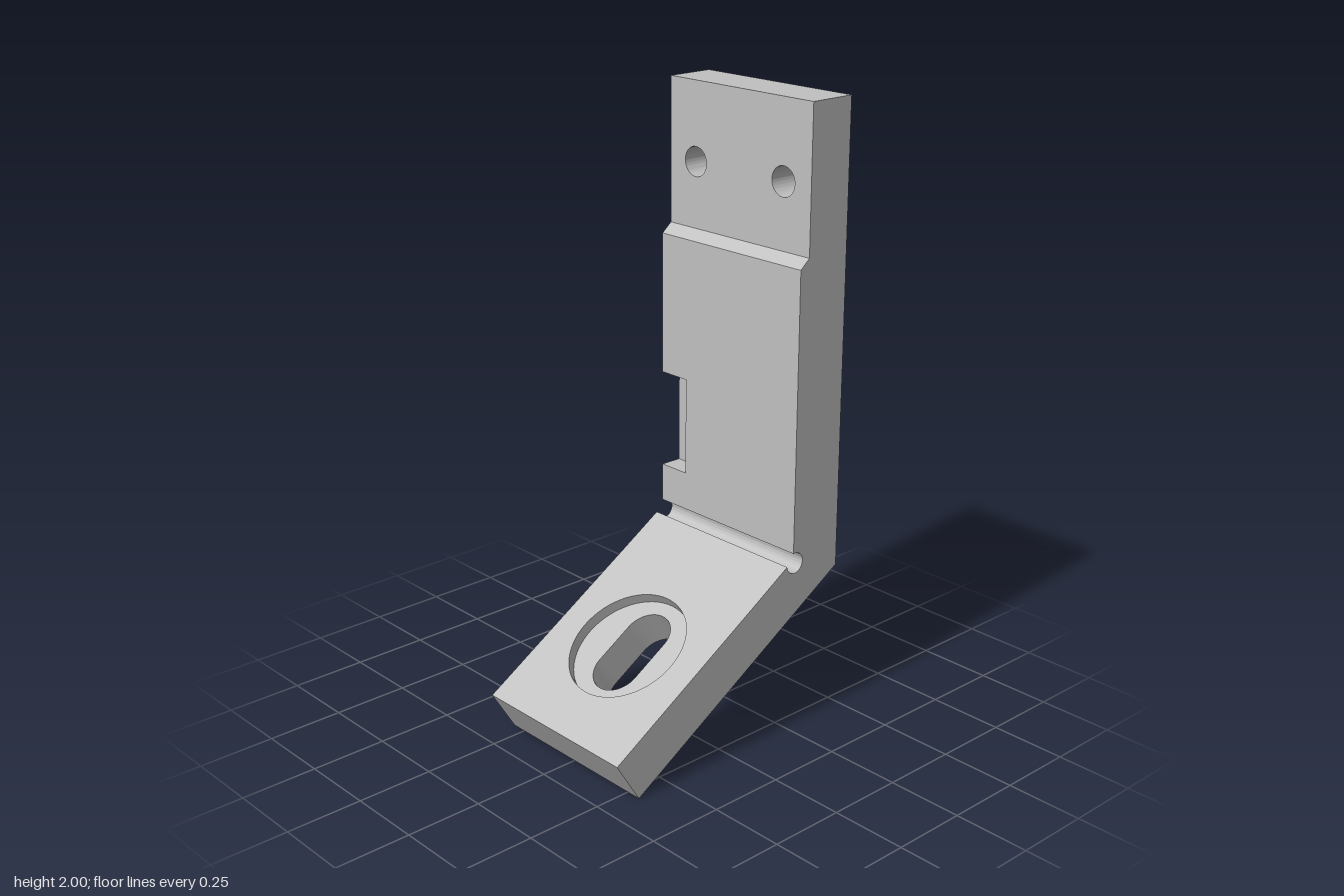
import * as THREE from 'three';
import { toCreasedNormals } from 'three/addons/utils/BufferGeometryUtils.js';

const HALF_W = 0.3;                       // half width of the bracket along z
const T = 0.163;                          // foot thickness
const HEEL = [0.46, 0.51], TOE = [-0.378, 0];
const tilt = Math.atan2(HEEL[1] - TOE[1], HEEL[0] - TOE[0]);
const C = Math.cos(tilt), S = Math.sin(tilt);
const JOINT = 0.65;                       // where the foot meets the elbow
const SHOULDER = 1.56;                    // where the top plate meets the upright

// Point of the foot: s along its slope, h above its underside
const footPoint = (s, h) => [TOE[0] + s * C - h * S, TOE[1] + s * S + h * C];

export function createModel() {
  const group = new THREE.Group();
  group.name = 'angledBracket';
  const steel = new THREE.MeshStandardMaterial({ color: 0xc0c0c0 });
  steel.name = 'greySteel';

  // Extrude a shape by depth, then place it with the given axes and origin
  function add(name, shape, depth, axes, origin) {
    const geo = new THREE.ExtrudeGeometry(shape, { depth, bevelEnabled: false, curveSegments: 32 });
    const m = new THREE.Matrix4().makeBasis(...axes.map(a => new THREE.Vector3(...a)));
    geo.applyMatrix4(m.setPosition(...origin));
    const mesh = new THREE.Mesh(toCreasedNormals(geo, 0.5), steel);
    mesh.name = name;
    group.add(mesh);
  }

  const rect = (x0, x1) => new THREE.Shape(
    [[x0, -HALF_W], [x1, -HALF_W], [x1, HALF_W], [x0, HALF_W]].map(p => new THREE.Vector2(...p)));
  const circle = (x, y, r) => new THREE.Path().absarc(x, y, r, 0, Math.PI * 2, true);

  // Top plate with two screw holes, extruded along x
  const plate = rect(SHOULDER, 2);
  for (const z of [-0.187, 0.187]) plate.holes.push(circle(1.75, z, 0.047));
  add('topPlate', plate, 0.16, [[0, 1, 0], [0, 0, 1], [1, 0, 0]], [0.3, 0, 0]);

  // Upright and elbow side profile, with a round relief in the inner corner
  function uprightProfile(notched) {
    const p = new THREE.Shape();
    p.moveTo(0.46, SHOULDER);
    p.lineTo(0.3, SHOULDER);
    p.lineTo(0.3, 1.54);
    p.lineTo(0.265, 1.51);
    if (notched) for (const q of [[0.265, 1.05], [0.338, 1.05], [0.338, 0.73], [0.265, 0.73]]) p.lineTo(...q);
    p.absarc(0.272, 0.571, 0.034, 1.78, -3.03, true);
    p.lineTo(...footPoint(JOINT, T));
    p.lineTo(...footPoint(JOINT, 0));
    p.lineTo(...HEEL);
    p.closePath();
    return p;
  }
  const NOTCH_Z = -0.19;
  const world = [[1, 0, 0], [0, 1, 0], [0, 0, 1]];
  add('uprightNotchedEdge', uprightProfile(true), NOTCH_Z + HALF_W, world, [0, 0, -HALF_W]);
  add('upright', uprightProfile(false), HALF_W - NOTCH_Z, world, [0, 0, NOTCH_Z]);

  // Sloping foot: slotted lower layer, and upper layer with the round recess
  const slope = [[C, S, 0], [0, 0, -1], [-S, C, 0]];
  const RECESS = 0.037, MID = 0.356, HALF_SLOT = 0.07, R = 0.083;
  const lower = rect(0, JOINT);
  const slot = new THREE.Path();
  slot.absarc(MID + HALF_SLOT, 0, R, Math.PI / 2, -Math.PI / 2, true);
  slot.absarc(MID - HALF_SLOT, 0, R, -Math.PI / 2, -Math.PI * 1.5, true);
  slot.closePath();
  lower.holes.push(slot);
  add('footSlottedLayer', lower, T - RECESS, slope, [...footPoint(0, 0), 0]);

  const upper = rect(0, JOINT);
  upper.holes.push(circle(MID, 0, 0.199));
  add('footRecessLayer', upper, RECESS, slope, [...footPoint(0, T - RECESS), 0]);

  return group;
}
